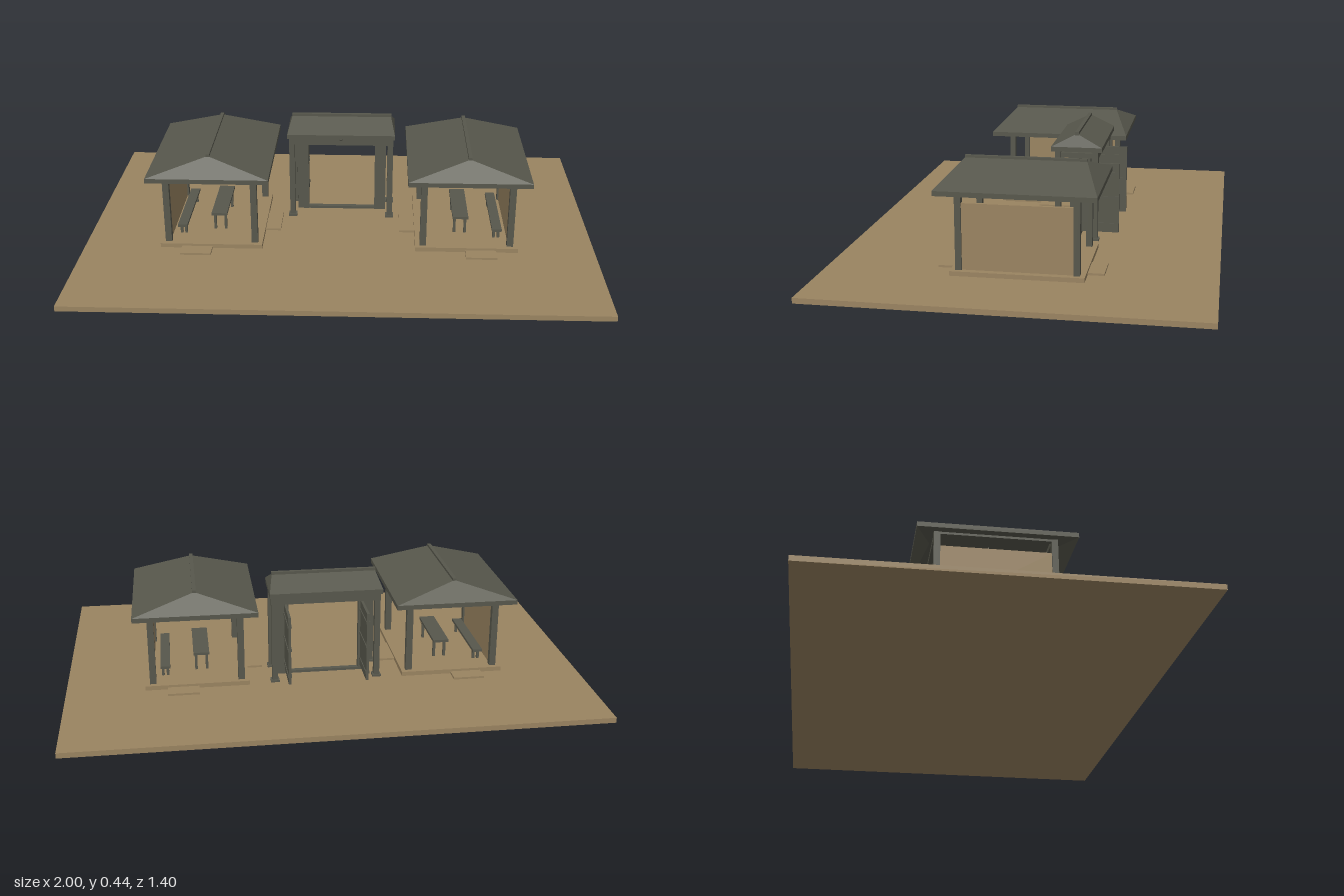
import * as THREE from 'three';

const earth = new THREE.MeshStandardMaterial({ color: 0x9a8461 });
earth.name = 'earth tan';
const slate = new THREE.MeshStandardMaterial({ color: 0x57574c });
slate.name = 'slate grey';

// box given by its lower and upper bounds on each axis
function box(parent, name, mat, [x0, x1], [y0, y1], [z0, z1]) {
  const mesh = new THREE.Mesh(new THREE.BoxGeometry(x1 - x0, y1 - y0, z1 - z0), mat);
  mesh.position.set((x0 + x1) / 2, (y0 + y1) / 2, (z0 + z1) / 2);
  mesh.name = name;
  parent.add(mesh);
  return mesh;
}
const span = (centre, width) => [centre - width / 2, centre + width / 2];

// hipped roof shell with its ridge along z and an even vertical thickness
function hipRoof(halfX, halfZ, halfRidge, eaveY, ridgeY, thick) {
  const shell = (dy) => [
    [-halfX, eaveY - dy, halfZ], [halfX, eaveY - dy, halfZ],
    [halfX, eaveY - dy, -halfZ], [-halfX, eaveY - dy, -halfZ],
    [0, ridgeY - dy, halfRidge], [0, ridgeY - dy, -halfRidge],
  ];
  const top = shell(0), low = shell(thick), pos = [];
  const tri = (a, b, c) => pos.push(...a, ...b, ...c);
  for (const [a, b, c] of [[0, 1, 4], [1, 2, 5], [1, 5, 4], [2, 3, 5], [3, 0, 4], [3, 4, 5]]) {
    tri(top[a], top[b], top[c]);
    tri(low[a], low[c], low[b]);
  }
  for (let i = 0; i < 4; i++) {
    const j = (i + 1) % 4;
    tri(low[i], low[j], top[j]);
    tri(low[i], top[j], top[i]);
  }
  const geo = new THREE.BufferGeometry();
  geo.setAttribute('position', new THREE.Float32BufferAttribute(pos, 3));
  geo.computeVertexNormals();
  const mesh = new THREE.Mesh(geo, slate);
  mesh.name = 'roof';
  return mesh;
}

// slab top on four legs, running along z
function trestle(parent, name, x, width, halfLength, height, floor) {
  const g = new THREE.Group();
  g.name = name;
  box(g, name + 'Top', slate, span(x, width), [height - 0.01, height], [-halfLength, halfLength]);
  for (const sx of [-1, 1]) for (const sz of [-1, 1]) {
    box(g, name + 'Leg', slate, span(x + sx * (width / 2 - 0.01), 0.01),
      [floor, height - 0.01], span(sz * (halfLength - 0.03), 0.01));
  }
  parent.add(g);
}

// side: +1 for the left pavilion, -1 for its mirror
function pavilion(side) {
  const g = new THREE.Group();
  g.name = side > 0 ? 'leftPavilion' : 'rightPavilion';
  const mx = (a, b) => (side > 0 ? [a, b] : [-b, -a]);
  const floor = 0.037;

  // platform and steps
  box(g, 'platform', earth, mx(0.3, 0.7), [0.02, floor], [-0.24, 0.24]);
  box(g, 'innerStep', earth, mx(0.24, 0.3), [0.02, 0.028], [-0.08, 0.08]);
  for (const z of [-0.27, 0.27]) box(g, 'endStep', earth, mx(0.495, 0.615), [0.02, 0.028], span(z, 0.06));

  // posts, beams and outer wall
  for (const x of [0.33, 0.67]) {
    for (const z of [-0.21, 0.21]) box(g, 'post', slate, mx(...span(x, 0.025)), [floor, 0.345], span(z, 0.023));
    box(g, 'sideBeam', slate, mx(...span(x, 0.018)), [0.325, 0.343], [-0.21, 0.21]);
  }
  for (const z of [-0.21, 0.21]) box(g, 'endBeam', slate, mx(0.33, 0.67), [0.325, 0.343], span(z, 0.018));
  box(g, 'wall', earth, mx(...span(0.67, 0.012)), [floor, 0.28], [-0.2, 0.2]);

  // furniture
  trestle(g, 'table', side * 0.48, 0.062, 0.13, 0.118, floor);
  trestle(g, 'bench', side * 0.622, 0.038, 0.17, 0.085, floor);

  // roof with ridge cap
  const roof = hipRoof(0.235, 0.286, 0.22, 0.335, 0.405, 0.018);
  roof.position.x = side * 0.5;
  g.add(roof);
  box(g, 'ridgeCap', slate, span(side * 0.5, 0.014), [0.398, 0.412], [-0.222, 0.222]);

  // small hanging lamp
  const lamp = new THREE.Mesh(new THREE.SphereGeometry(0.007, 10, 8), slate);
  lamp.position.set(side * 0.5, 0.318, 0);
  lamp.name = 'lamp';
  g.add(lamp);
  box(g, 'lampCord', slate, span(side * 0.5, 0.003), [0.32, 0.39], span(0, 0.003));
  return g;
}

function gate() {
  const g = new THREE.Group();
  g.name = 'gate';
  const zc = -0.142;

  for (const s of [-1, 1]) {
    // corner posts on small footings
    for (const z of [-0.07, -0.214]) {
      box(g, 'gatePost', slate, span(s * 0.2, 0.022), [0.02, 0.385], span(z, 0.022));
      box(g, 'footing', slate, span(s * 0.2, 0.034), [0.02, 0.028], span(z, 0.034));
    }
    box(g, 'sideTie', slate, span(s * 0.2, 0.016), [0.345, 0.365], [-0.22, -0.06]);
    // door jamb
    box(g, 'jamb', slate, span(s * 0.16, 0.046), [0.02, 0.345], span(zc, 0.022));

    // door leaf swung open to the back, with rails
    box(g, 'doorLeaf', slate, span(s * 0.15, 0.01), [0.04, 0.315], [-0.302, -0.155]);
    for (const y of [0.072, 0.18, 0.277]) {
      box(g, 'doorRail', slate, span(s * 0.15, 0.016), span(y, 0.01), [-0.302, -0.155]);
    }
  }

  // cross beams, hanging panel and threshold
  for (const z of [-0.07, zc, -0.214]) box(g, 'crossBeam', slate, [-0.2, 0.2], [0.338, 0.365], span(z, 0.016));
  box(g, 'lintelPanel', slate, [-0.12, 0.12], [0.31, 0.338], span(zc, 0.012));
  box(g, 'threshold', slate, [-0.14, 0.14], [0.02, 0.03], span(zc, 0.02));
  const boss = new THREE.Mesh(new THREE.SphereGeometry(0.007, 10, 8), slate);
  boss.position.set(0, 0.364, -0.062);
  boss.name = 'boss';
  g.add(boss);

  // roof turned so that its ridge runs along x
  const roof = hipRoof(0.098, 0.217, 0.2, 0.388, 0.438, 0.018);
  roof.rotation.y = Math.PI / 2;
  roof.position.z = zc;
  g.add(roof);
  box(g, 'ridgeCap', slate, [-0.202, 0.202], [0.432, 0.445], span(zc, 0.014));
  return g;
}

export function createModel() {
  const model = new THREE.Group();
  model.name = 'courtyard';
  box(model, 'ground', earth, [-1, 1], [0, 0.02], [-0.7, 0.7]);
  model.add(pavilion(1), pavilion(-1), gate());
  return model;
}
